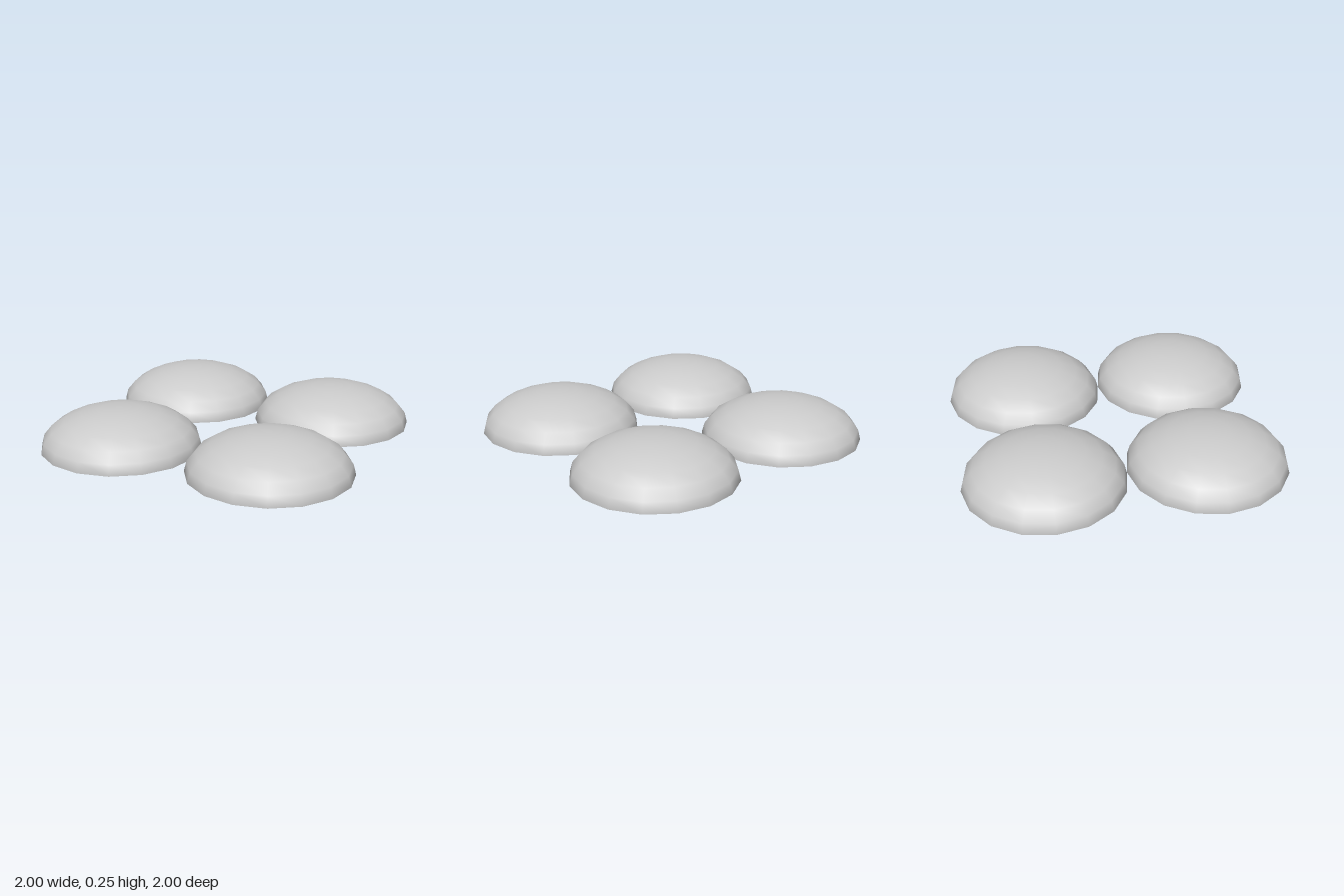
import * as THREE from 'three';

const RADIUS = 0.5;
const HEIGHT = 0.25;

export function createModel() {
  const model = new THREE.Group();
  model.name = 'domes';

  // Open, hollow upper half of a sphere, flattened to half its height
  const domeGeometry = new THREE.SphereGeometry(RADIUS, 16, 6, 0, Math.PI * 2, 0, Math.PI / 2);
  domeGeometry.scale(1, HEIGHT / RADIUS, 1);
  const material = new THREE.MeshStandardMaterial({ color: 0xcccccc, side: THREE.DoubleSide });

  // Four domes touching in a two by two grid
  for (const [zName, z] of [['front', RADIUS], ['back', -RADIUS]]) {
    for (const [xName, x] of [['Left', RADIUS], ['Right', -RADIUS]]) {
      const dome = new THREE.Mesh(domeGeometry, material);
      dome.name = `${zName}${xName}Dome`;
      dome.position.set(x, 0, z);
      model.add(dome);
    }
  }
  return model;
}
